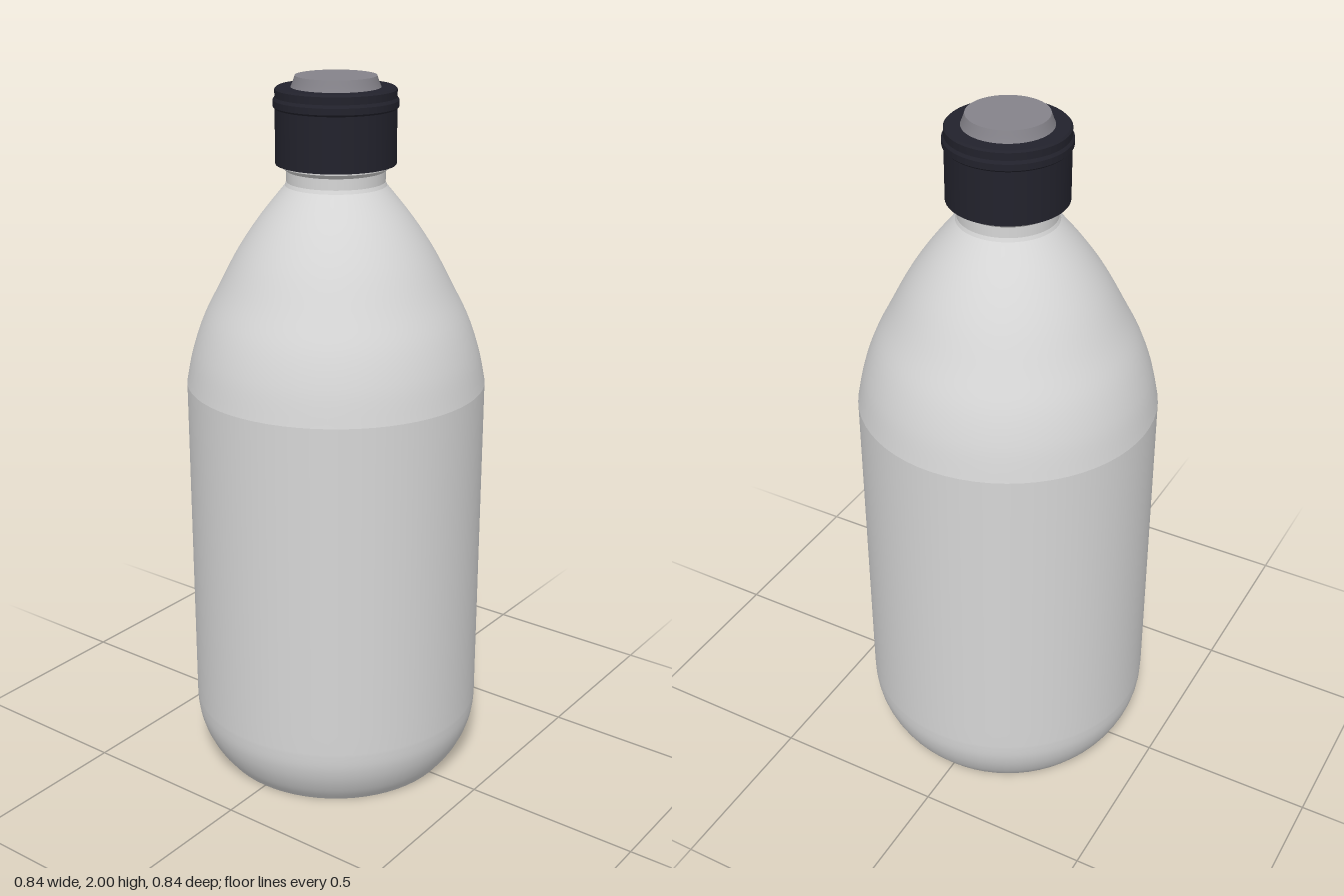
import * as THREE from 'three';

const SEGMENTS = 64;
const v = (p) => new THREE.Vector2(p[0], p[1]);

// Smooth curve through a few [radius, height] points
const curve = (pts, n) => new THREE.SplineCurve(pts.map(v)).getPoints(n);

export function createModel() {
  const plastic = new THREE.MeshStandardMaterial({ color: 0xd6d6d6 });
  plastic.name = 'pale plastic';
  const dark = new THREE.MeshStandardMaterial({ color: 0x22222c });
  dark.name = 'dark cap';
  const grey = new THREE.MeshStandardMaterial({ color: 0x85838a });
  grey.name = 'grey stopper';

  const model = new THREE.Group();
  model.name = 'bottle';

  // Profiles run bottom to top so faces point outwards
  const turn = (name, parent, points, material) => {
    const mesh = new THREE.Mesh(new THREE.LatheGeometry(points, SEGMENTS), material);
    mesh.name = name;
    parent.add(mesh);
  };
  // Each straight band is its own surface, which keeps its edges sharp
  const bands = (name, parent, pts, material) => {
    const group = new THREE.Group();
    group.name = name;
    for (let i = 0; i < pts.length - 1; i++) {
      turn(name + 'Band' + (i + 1), group, [v(pts[i]), v(pts[i + 1])], material);
    }
    parent.add(group);
  };

  // Body: flat base, rounded heel, straight wall, domed shoulder
  const body = new THREE.Group();
  body.name = 'body';
  model.add(body);
  turn('base', body, [v([0, 0]), v([0.345, 0])], plastic);
  const heel = curve([[0.345, 0], [0.375, 0.04], [0.4, 0.09], [0.414, 0.14], [0.418, 0.19]], 16);
  turn('wall', body, [...heel, v([0.418, 0.25]), v([0.418, 1.16])], plastic);
  turn('shoulder', body, curve([
    [0.418, 1.16], [0.399, 1.25], [0.368, 1.34], [0.323, 1.43],
    [0.27, 1.53], [0.21, 1.62], [0.138, 1.71],
  ], 32), plastic);

  // Neck with a collar under the cap
  bands('neck', model, [
    [0.138, 1.71], [0.134, 1.72], [0.134, 1.75], [0.15, 1.762], [0.15, 1.78],
  ], plastic);

  // Cap with a raised bead near its top
  bands('cap', model, [
    [0.14, 1.768], [0.163, 1.768], [0.163, 1.915], [0.168, 1.92],
    [0.168, 1.937], [0.163, 1.945], [0.163, 1.965], [0.158, 1.97], [0, 1.97],
  ], dark);

  // Stopper with a softly flared foot
  const stopper = new THREE.Group();
  stopper.name = 'stopper';
  model.add(stopper);
  turn('stopperSide', stopper, curve([[0.121, 1.968], [0.116, 1.98], [0.109, 2]], 6), grey);
  turn('stopperTop', stopper, [v([0.109, 2]), v([0, 2])], grey);

  return model;
}
